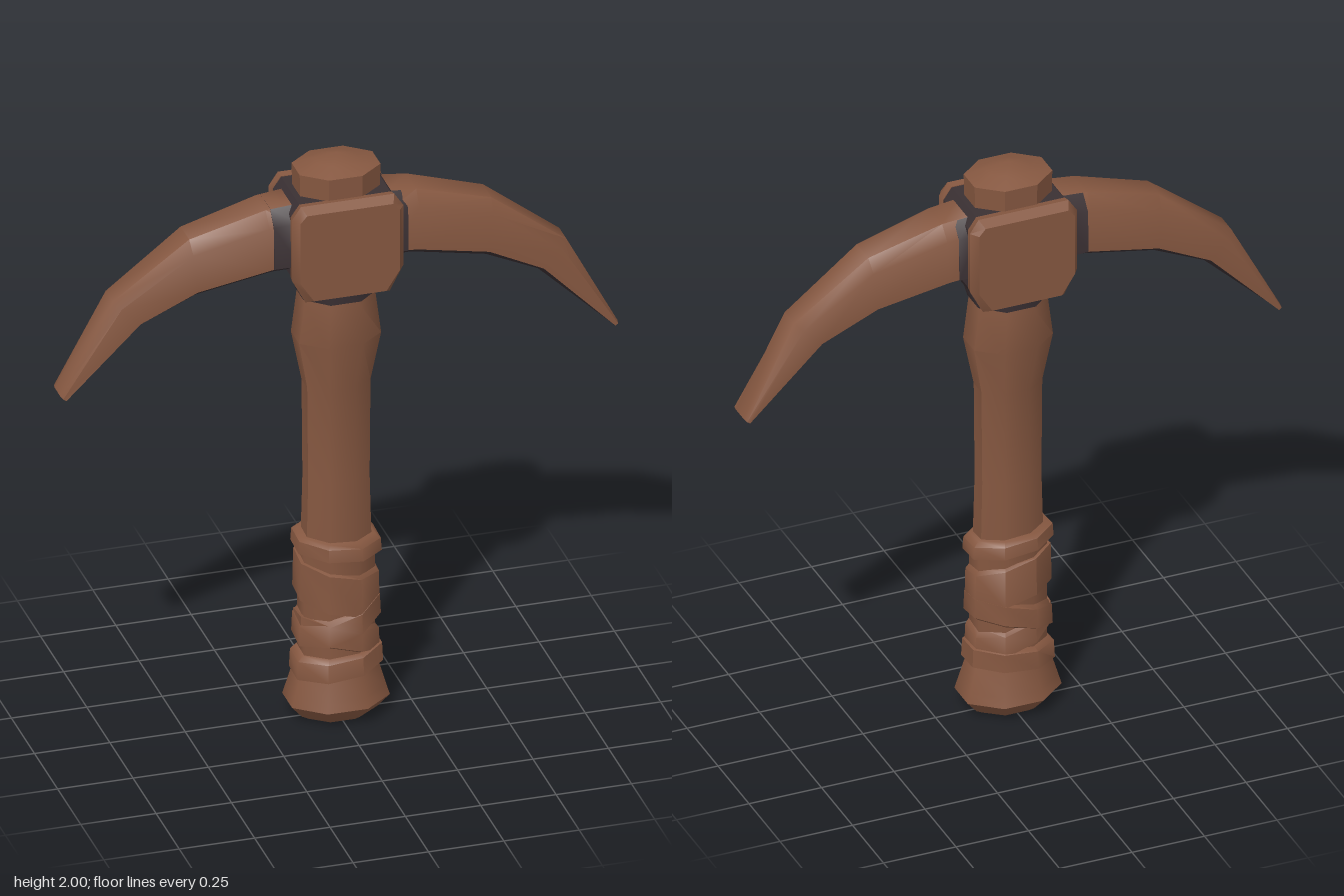
import * as THREE from 'three';
import { toCreasedNormals, mergeGeometries } from 'three/addons/utils/BufferGeometryUtils.js';

const brown = new THREE.MeshStandardMaterial({ color: 0x855740 });
brown.name = 'warm brown';
const dark = new THREE.MeshStandardMaterial({ color: 0x3a3033 });
dark.name = 'dark seam';

// Joins closed rings of [x, y, z] points; keep(j) picks which sides are built.
function loft(rings, { keep = () => true, caps = true, crease = 0.9 } = {}) {
  const n = rings[0].length;
  const pos = rings.flat(2);
  const idx = [];
  const vol = (a, b, c) => {
    const v = [a, b, c].map((i) => new THREE.Vector3().fromArray(pos, i * 3));
    return v[0].dot(v[1].clone().cross(v[2]));
  };
  let volume = 0;
  const tri = (a, b, c, on) => {
    volume += vol(a, b, c);
    if (on) idx.push(a, b, c);
  };
  for (let i = 0; i < rings.length - 1; i++) {
    for (let j = 0; j < n; j++) {
      const k = (j + 1) % n, a = i * n, b = a + n;
      tri(a + j, a + k, b + k, keep(j));
      tri(a + j, b + k, b + j, keep(j));
    }
  }
  const last = (rings.length - 1) * n;
  for (let j = 1; j < n - 1; j++) {
    tri(0, j + 1, j, caps);
    tri(last, last + j, last + j + 1, caps);
  }
  if (volume < 0) idx.reverse();
  const g = new THREE.BufferGeometry();
  g.setAttribute('position', new THREE.Float32BufferAttribute(pos, 3));
  g.setIndex(idx);
  return toCreasedNormals(g, crease);
}

// Eight-sided ring about the handle axis, optionally tilted.
function ring(y, rx, rz, tiltX = 0, tiltZ = 0, cx = 0) {
  return Array.from({ length: 8 }, (_, j) => {
    const a = ((j + 0.5) * Math.PI) / 4, s = 1 / Math.cos(Math.PI / 8);
    const x = Math.cos(a) * rx * s, z = Math.sin(a) * rz * s;
    return [x + cx, y + tiltX * x + tiltZ * z, z];
  });
}

// Outline of the head block in the front plane, shrunk by an inset.
function headOutline(z, inset) {
  const w = 0.185 - inset, top = 1.895 - inset, low = 1.55 + inset * 0.8;
  return [
    [-0.14 + inset, low, z], [0.14 - inset, low, z], [w, 1.635, z], [w, 1.85, z],
    [0.155 - inset * 0.6, top, z], [-0.155 + inset * 0.6, top, z], [-w, 1.85, z], [-w, 1.635, z],
  ];
}

// Blade ring between an upper and a lower edge point.
function bladeRing([tx, ty, bx, by, w, cz], side, grow = 0) {
  const shape = [[-0.6, 0], [0.6, 0], [1, 0.12], [0.95, 0.78], [0.55, 1], [-0.55, 1], [-0.95, 0.78], [-1, 0.12]];
  return shape.map(([u, t]) => {
    const v = t + (t - 0.5) * grow;
    return [side * (bx + (tx - bx) * v), by + (ty - by) * v, cz * side + u * w * (1 + grow)];
  });
}

export function createModel() {
  const model = new THREE.Group();
  const add = (name, geometry, material, parent = model) => {
    const mesh = new THREE.Mesh(geometry, material);
    mesh.name = name;
    parent.add(mesh);
    return mesh;
  };

  // Handle with a flared neck
  add('handle', loft([
    ring(0.1, 0.1, 0.075), ring(0.64, 0.107, 0.08), ring(0.85, 0.102, 0.075), ring(1.19, 0.105, 0.075),
    ring(1.36, 0.136, 0.108), ring(1.5, 0.118, 0.108), ring(1.58, 0.105, 0.1),
  ]), brown);
  add('neckSeam', loft([ring(1.515, 0.122, 0.108), ring(1.56, 0.135, 0.11)]), dark);

  // Rounded pommel
  add('pommel', loft([
    ring(0, 0.1, 0.075), ring(0.015, 0.125, 0.092), ring(0.06, 0.162, 0.13),
    ring(0.095, 0.152, 0.122), ring(0.18, 0.128, 0.1),
  ]), brown);

  // Grip wrapping: a sleeve plus tilted bands
  const grip = new THREE.Group();
  grip.name = 'grip';
  model.add(grip);
  add('gripSleeve', loft([ring(0.14, 0.118, 0.094), ring(0.63, 0.118, 0.094)]), brown, grip);
  const bands = [ // bottom, top, tilt x, tilt z, half width, half depth
    [0.16, 0.245, 0.1, -0.05, 0.142, 0.112],
    [0.25, 0.345, -0.3, 0.1, 0.132, 0.106],
    [0.31, 0.4, 0.3, -0.15, 0.135, 0.11],
    [0.4, 0.555, -0.25, -0.18, 0.132, 0.106],
    [0.585, 0.65, -0.1, -0.08, 0.138, 0.11],
  ];
  for (const [low, top, sx, sz, rx, rz] of bands) {
    add('gripBand', loft([
      ring(low, rx - 0.02, rz - 0.018, sx, sz), ring(low + 0.01, rx, rz, sx, sz),
      ring(top - 0.012, rx - 0.003, rz - 0.003, sx, sz), ring(top, rx - 0.02, rz - 0.018, sx * 0.7, sz),
    ]), brown, grip);
  }

  // Head block: dark core between two bevelled cheeks
  add('headCore', loft([headOutline(-0.105, 0.006), headOutline(0.105, 0.006)], { crease: 0.5 }), dark);
  for (const s of [1, -1]) {
    add('headCheek', loft([
      headOutline(0.1 * s, 0.004), headOutline(0.125 * s, 0), headOutline(0.155 * s, 0.02),
    ], { crease: 0.6 }), brown);
  }

  // Cap on top of the handle
  add('cap', loft([
    ring(1.87, 0.132, 0.105), ring(1.965, 0.134, 0.107), ring(1.985, 0.07, 0.055), ring(2, 0.008, 0.008),
  ], { crease: 0.6 }), brown);

  // Curved blades, dark along the underside
  const edges = [ // top x, top y, bottom x, bottom y, half width, z shift
    [0.15, 1.872, 0.15, 1.65, 0.103, 0],
    [0.25, 1.862, 0.24, 1.64, 0.097, 0],
    [0.5, 1.79, 0.48, 1.592, 0.084, 0.004],
    [0.75, 1.6, 0.655, 1.51, 0.069, 0.008],
    [0.92, 1.28, 0.905, 1.272, 0.054, 0.012],
  ];
  const isUnder = (j) => j === 0 || j === 1 || j === 7;
  for (const side of [1, -1]) {
    const blade = new THREE.Group();
    blade.name = side > 0 ? 'leftBlade' : 'rightBlade';
    model.add(blade);
    const rings = edges.map((e) => bladeRing(e, side));
    add('bladeBody', loft(rings, { keep: (j) => !isUnder(j) }), brown, blade);
    add('bladeUnderside', loft(rings, { keep: isUnder, caps: false }), dark, blade);
    // Dark seam where the blade enters the head
    const end = side > 0 ? 0.21 : 0.235;
    add('bladeSeam', loft([
      bladeRing([0.15, 1.868, 0.15, 1.65, 0.103, 0], side, 0.04),
      bladeRing([end, 1.862, end, 1.645, 0.099, 0], side, 0.02),
    ], { keep: (j) => j !== 4 }), dark, blade);
  }
  return model;
}
